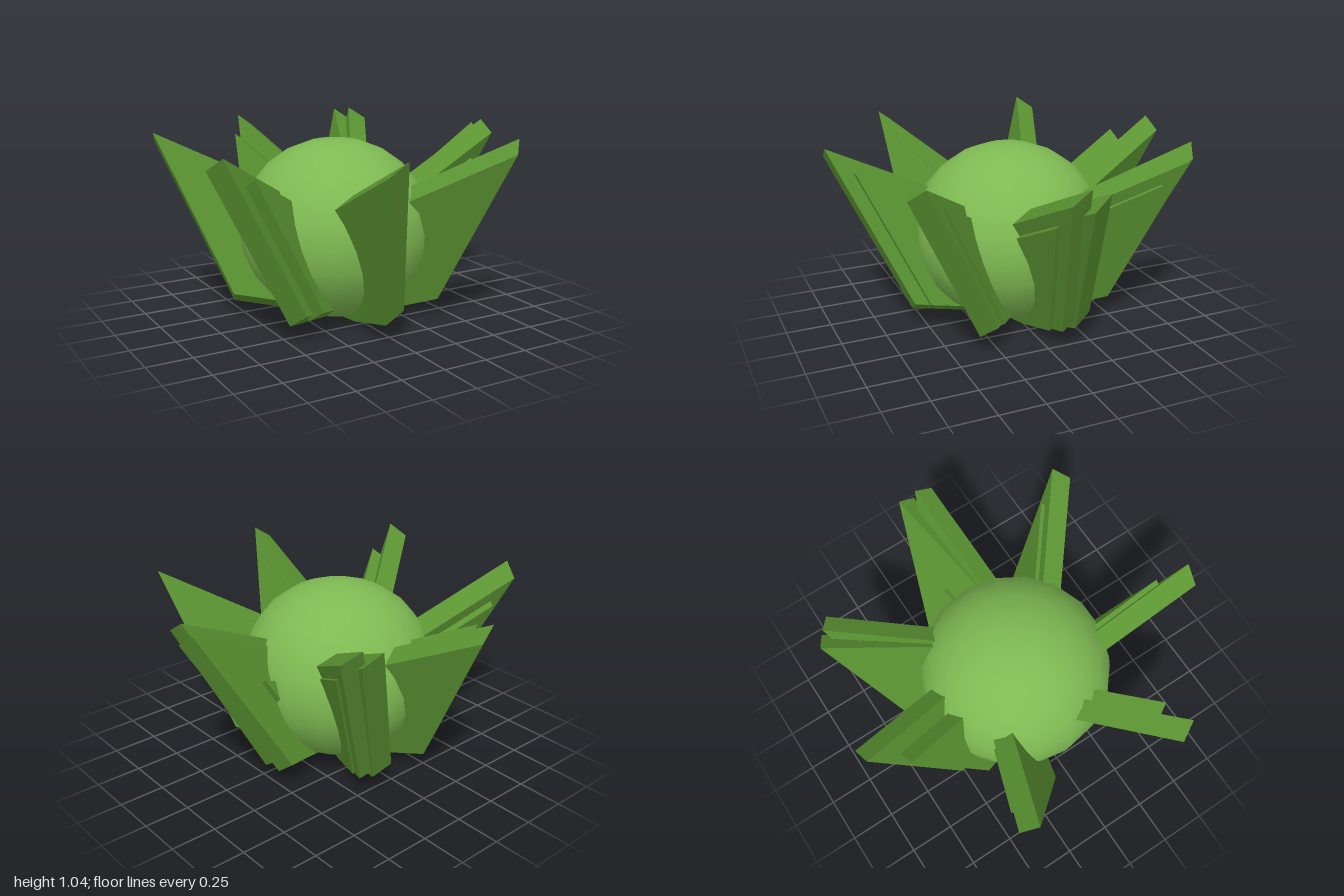
import * as THREE from 'three';

const rad = THREE.MathUtils.degToRad;

// Leaf blade outline: radial distance, height
const OUTLINE = [[0, 0.035], [0.28, 0.05], [0.58, 0.125], [0.94, 1.035], [0.4, 0.76], [0.1, 0.5]];

// Thickness leans down and inward towards one face
const SLANT = new THREE.Matrix4().makeShear(0, 0, 0, 0, -0.2, -0.3);

// azimuth in degrees from the front, roll, and the smaller overlapping blades
// (shift = sideways offset across the blade, scale = size relative to the main one)
const LEAVES = [
  { azimuth: 6, inner: [{ shift: -0.035, scale: 0.86 }] },
  { azimuth: 60.5, inner: [{ shift: -0.03, scale: 0.86 }] },
  { azimuth: 105.5, inner: [{ shift: 0.03, scale: 0.85 }] },
  { azimuth: 115, roll: 22, size: 0.99, inner: [{ shift: -0.04, scale: 0.6 }] },
  { azimuth: 167, inner: [] },
  { azimuth: 159.5, roll: 16, inner: [{ shift: 0.02, scale: 0.86 }] },
  { azimuth: 205, size: 0.99, inner: [{ shift: -0.14, scale: 0.87 }] },
  { azimuth: 259.3, inner: [{ shift: 0.04, scale: 0.86 }] },
  { azimuth: 315, inner: [{ shift: -0.07, scale: 0.86 }] },
];

function bladeGeometry(size, thickness) {
  const shape = new THREE.Shape(OUTLINE.map(([r, y]) => new THREE.Vector2(r * size, y * size)));
  const geometry = new THREE.ExtrudeGeometry(shape, { depth: thickness, bevelEnabled: false });
  return geometry.translate(0, 0, -thickness / 2).applyMatrix4(SLANT);
}

export function createModel() {
  const model = new THREE.Group();
  model.name = 'leafyBulb';
  const bulbGreen = new THREE.MeshStandardMaterial({ color: 0x7fba52 });
  bulbGreen.name = 'bulbGreen';
  const leafGreen = new THREE.MeshStandardMaterial({ color: 0x5b9432 });
  leafGreen.name = 'leafGreen';

  // Round bulb in the middle
  const bulb = new THREE.Mesh(new THREE.SphereGeometry(0.535, 18, 12), bulbGreen);
  bulb.name = 'bulb';
  bulb.scale.y = 0.935;
  bulb.position.set(-0.045, 0.503, 0);
  model.add(bulb);

  // Ring of leaning blades around the bulb
  for (const { azimuth, roll = 18, size = 1, inner } of LEAVES) {
    const leaf = new THREE.Group();
    leaf.name = 'leaf';
    leaf.position.set(-0.04, 0.02, 0);
    leaf.rotation.set(rad(roll), rad(azimuth - 90), 0, 'YXZ');

    const blade = new THREE.Mesh(bladeGeometry(size, 0.115), leafGreen);
    blade.name = 'leafBlade';
    leaf.add(blade);

    // Smaller blades showing through the side
    for (const { shift, scale } of inner) {
      const small = new THREE.Mesh(bladeGeometry(scale * size, 0.1), leafGreen);
      small.name = 'innerBlade';
      small.position.z = shift;
      leaf.add(small);
    }
    model.add(leaf);
  }
  return model;
}
